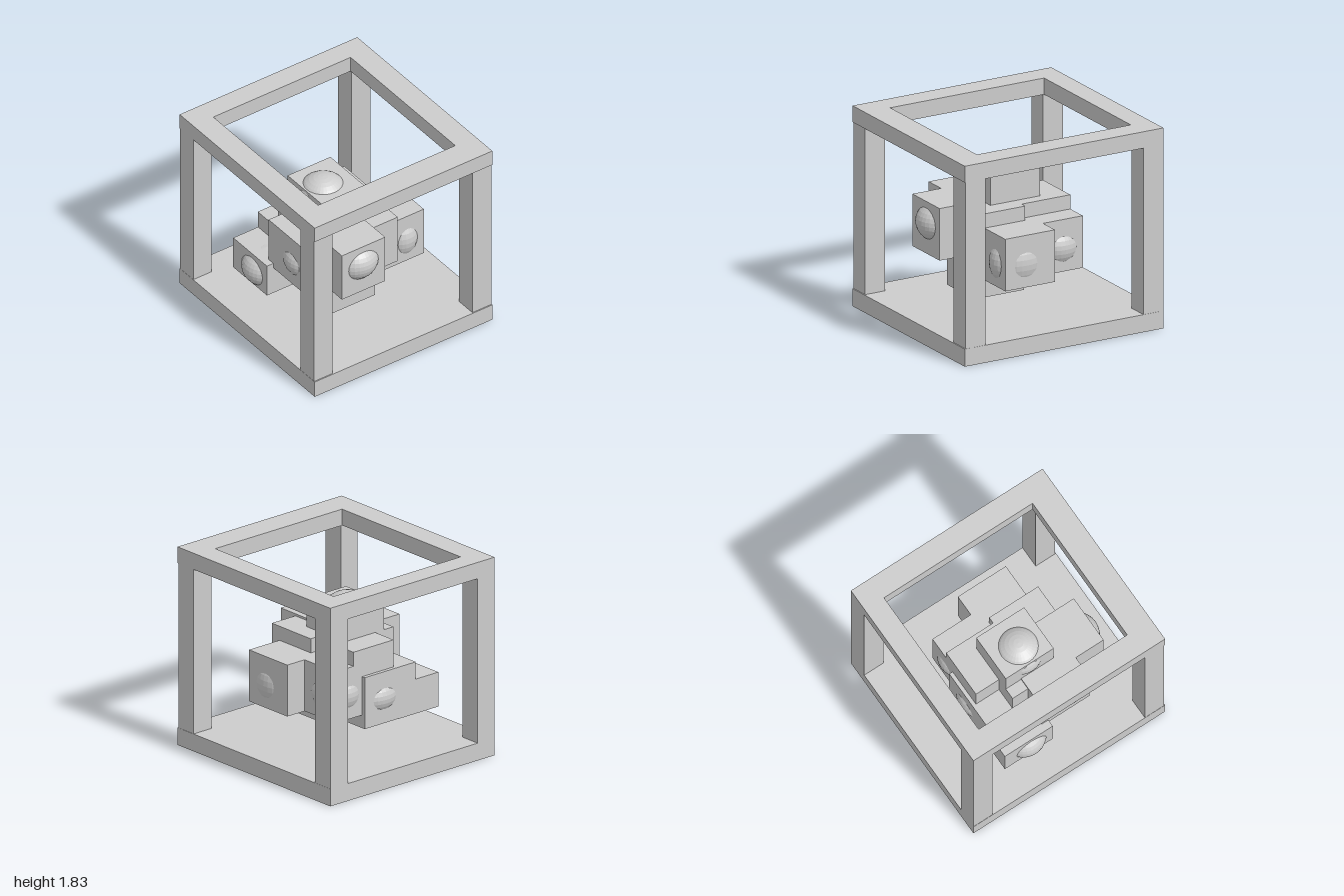
import * as THREE from 'three';

export function createModel() {
  const model = new THREE.Group();
  const grey = new THREE.MeshStandardMaterial({ color: 0xcccccc });
  grey.name = 'plainGrey';

  const add = (parent, name, geometry) => {
    const mesh = new THREE.Mesh(geometry, grey);
    mesh.name = name;
    parent.add(mesh);
    return mesh;
  };

  // Box from its lower and upper corner
  const box = (parent, name, [x0, y0, z0], [x1, y1, z1]) =>
    add(parent, name, new THREE.BoxGeometry(x1 - x0, y1 - y0, z1 - z0))
      .position.set((x0 + x1) / 2, (y0 + y1) / 2, (z0 + z1) / 2);

  // Faceted ellipsoid
  const ball = (parent, name, center, radii) => {
    const g = new THREE.SphereGeometry(1, 32, 16).scale(...radii).toNonIndexed();
    g.computeVertexNormals();
    add(parent, name, g).position.set(...center);
  };

  // Open cage: base slab, corner posts, top rim
  const cage = new THREE.Group();
  cage.name = 'cage';
  model.add(cage);
  box(cage, 'baseSlab', [-1, 0, -0.945], [1, 0.16, 0.945]);
  for (const [x0, x1] of [[-1, -0.8], [0.79, 0.99]])
    for (const [z0, z1] of [[-0.943, -0.74], [0.75, 0.943]])
      box(cage, 'cornerPost', [x0, 0.16, z0], [x1, 1.68, z1]);

  const rim = new THREE.Shape();
  rim.moveTo(-1, -0.945).lineTo(1, -0.945).lineTo(1, 0.945).lineTo(-1, 0.945).closePath();
  const hole = new THREE.Path();
  hole.moveTo(-0.8, -0.73).lineTo(-0.8, 0.73).lineTo(0.75, 0.73).lineTo(0.75, -0.73).closePath();
  rim.holes.push(hole);
  const rimGeometry = new THREE.ExtrudeGeometry(rim, { depth: 0.15, bevelEnabled: false });
  rimGeometry.rotateX(-Math.PI / 2);
  add(cage, 'topRim', rimGeometry).position.y = 1.68;

  // Cluster of overlapping blocks: lower corner, upper corner,
  // then the centre and radii of the ball bulging through the faces
  const cluster = new THREE.Group();
  cluster.name = 'blockCluster';
  model.add(cluster);
  const blocks = [
    ['topBlock', [-0.25, 0.88, -0.12], [0.25, 1.36, 0.335], [0.01, 1.25, 0.145], [0.22, 0.18, 0.22]],
    ['coreBlock', [-0.25, 0.62, -0.02], [0.25, 1.1, 0.44]],
    ['leftBlock', [0.2, 0.645, -0.02], [0.7, 1.12, 0.44], [0.56, 0.92, 0.21], [0.215, 0.185, 0.21]],
    ['frontBlock', [-0.09, 0.64, 0.19], [0.41, 1.12, 0.652], [0.24, 0.85, 0.48], [0.21, 0.18, 0.21]],
    ['lowerBlock', [-0.09, 0.27, -0.12], [0.41, 0.75, 0.34], [0.18, 0.44, 0.15], [0.22, 0.185, 0.225]],
    ['frontRightBlock', [-0.52, 0.37, 0.26], [-0.02, 0.688, 0.72], [-0.24, 0.51, 0.57], [0.21, 0.182, 0.22]],
    ['rightBlock', [-0.525, 0.375, -0.13], [-0.025, 0.85, 0.455], [-0.34, 0.6, 0.1], [0.22, 0.18, 0.24]],
    ['upperRightBlock', [-0.49, 0.62, -0.23], [0.01, 1.1, 0.23]],
    ['upperBackBlock', [0, 0.625, -0.29], [0.51, 1.1, 0.17]],
    ['backRightBlock', [-0.49, 0.495, -0.44], [0.01, 0.97, 0.02], [-0.3, 0.7, -0.27], [0.22, 0.2, 0.207]],
    ['backBlock', [-0.09, 0.495, -0.64], [0.41, 0.97, -0.18], [0.2, 0.7, -0.47], [0.25, 0.245, 0.192]],
  ];
  for (const [name, low, high, center, radii] of blocks) {
    const group = new THREE.Group();
    group.name = name;
    cluster.add(group);
    box(group, 'block', low, high);
    if (center) ball(group, 'bulgingBall', center, radii);
  }

  return model;
}
